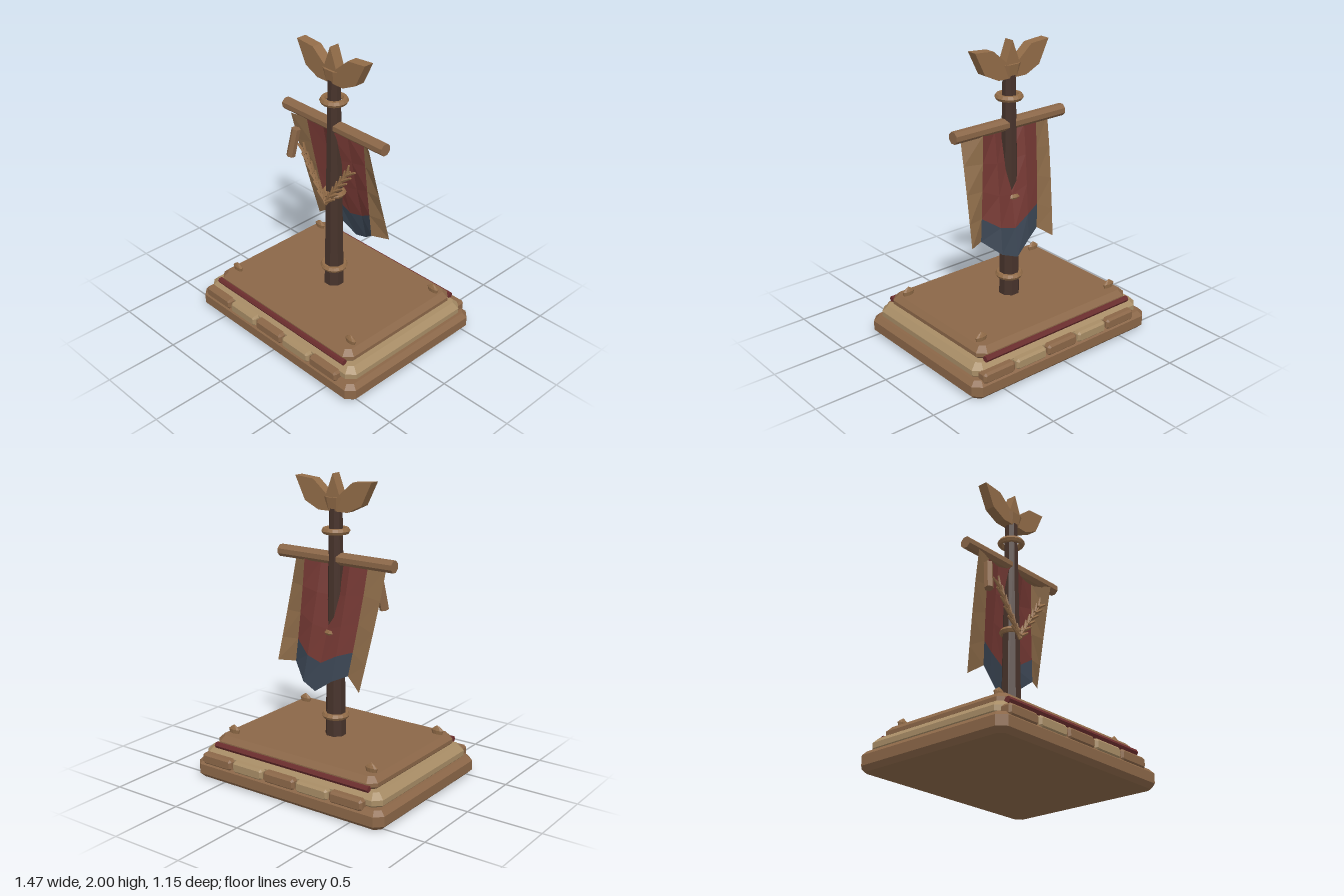
import * as THREE from 'three';

const mat = (name, color, side = THREE.FrontSide) => {
  const m = new THREE.MeshStandardMaterial({ color, flatShading: true, side });
  m.name = name;
  return m;
};

export function createModel() {
  const root = new THREE.Group();
  root.name = 'bannerStand';
  const wood = mat('brownWood', 0x8b6748);
  const pale = mat('paleStone', 0xa88d66);
  const dark = mat('darkWood', 0x47332b);
  const trim = mat('redTrim', 0x6c2e2e);
  const red = mat('redCloth', 0x743833, THREE.DoubleSide);
  const blue = mat('blueCloth', 0x3a4553, THREE.DoubleSide);
  const tan = mat('tanCloth', 0x8b6a48, THREE.DoubleSide);
  const bronze = mat('bronze', 0x926c48);

  const add = (name, geometry, material, x = 0, y = 0, z = 0, parent = root) => {
    const m = new THREE.Mesh(geometry, material);
    m.name = name;
    m.position.set(x, y, z);
    parent.add(m);
    return m;
  };

  // Bevelled slab with cut corners, centred, facing +z
  const slab = (w, h, d, cut, bevel) => {
    const x = w / 2, y = h / 2;
    const s = new THREE.Shape([
      [-x + cut, -y], [x - cut, -y], [x, -y + cut], [x, y - cut],
      [x - cut, y], [-x + cut, y], [-x, y - cut], [-x, -y + cut],
    ].map(p => new THREE.Vector2(...p)));
    const g = new THREE.ExtrudeGeometry(s, {
      depth: d - 2 * bevel, bevelEnabled: true, bevelSegments: 1,
      bevelThickness: bevel, bevelSize: bevel, bevelOffset: -bevel,
    });
    return g.translate(0, 0, bevel - d / 2);
  };

  // Stepped base
  const tier = (name, w, depth, y0, y1, cut, bevel, m) =>
    add(name, slab(w, depth, y1 - y0, cut, bevel).rotateX(-Math.PI / 2), m, 0, (y0 + y1) / 2, 0);
  tier('baseBottom', 1.47, 1.15, 0, 0.125, 0.05, 0.03, wood);
  tier('baseMiddle', 1.39, 1.06, 0.1, 0.21, 0.05, 0.038, pale);
  tier('baseTop', 1.26, 0.98, 0.19, 0.285, 0.05, 0.035, wood);

  // Facing blocks, trim rails and corner studs; the back repeats the front turned round
  for (const s of [1, -1]) {
    for (let i = 0; i < 5; i++) {
      const b = add('facingBlock', slab(0.245, 0.076, 0.08, 0.015, 0.014), i % 2 ? pale : wood,
        s * (-0.545 + i * 0.256), 0.138, s * 0.534);
      if (s < 0) b.rotation.y = Math.PI;
    }
    add('trimRail', new THREE.CylinderGeometry(0.021, 0.021, 1.21, 6).rotateZ(Math.PI / 2),
      trim, 0, 0.224, s * 0.497);
    for (const sx of [1, -1]) {
      const profile = [[0.036, 0], [0.045, 0.03], [0.028, 0.045], [0, 0.063]];
      const stud = add('cornerStud', new THREE.LatheGeometry(
        profile.map(p => new THREE.Vector2(...p)), 10), bronze, sx * 0.545, 0.282, s * 0.385);
      stud.scale.z = 0.38;
    }
  }

  // Pole, crossbar and rings
  add('pole', new THREE.CylinderGeometry(0.043, 0.069, 1.5, 8).rotateY(Math.PI / 8), dark, 0, 1.03, 0);
  add('crossbar', new THREE.CylinderGeometry(0.041, 0.041, 0.88, 8).rotateY(Math.PI / 8)
    .rotateZ(Math.PI / 2), wood, 0, 1.463, 0);
  for (const [y, r] of [[0.42, 0.071], [1.64, 0.071], [0.985, 0.058]]) {
    add('poleRing', new THREE.TorusGeometry(r, 0.021, 6, 16).rotateX(Math.PI / 2), bronze, 0, y, 0);
  }

  // Winged finial with its collar
  const half = [[0.05, 1.87], [0.15, 1.955], [0.29, 1.967], [0.215, 1.815], [0.11, 1.765]];
  const outline = [[0, 2], ...half, ...half.map(([x, y]) => [-x, y]).reverse()];
  add('wingedFinial', new THREE.ExtrudeGeometry(
    new THREE.Shape(outline.map(p => new THREE.Vector2(...p))),
    { depth: 0.07, bevelEnabled: false }), bronze, 0, 0, -0.035);
  add('finialCollar', new THREE.CylinderGeometry(0.1, 0.075, 0.08, 8).rotateY(Math.PI / 8),
    bronze, 0, 1.812, 0).scale.z = 0.54;

  // Hanging cloth: top edge sweeps down and back to the ragged hem
  const top = [[-0.355, 0.04], [-0.235, 0.015], [-0.115, -0.01], [0, 0.045],
    [0.115, 0.0], [0.23, -0.025], [0.35, 0.048]];
  const hem = [[-0.27, 0.655, -0.125], [-0.16, 0.735, -0.09], [-0.06, 0.69, -0.125],
    [0.055, 0.61, -0.152], [0.165, 0.65, -0.132], [0.28, 0.75, -0.06], [0.39, 0.75, -0.11]];
  const rows = [0, 0.26, 0.52, 0.78, 1];
  const point = (c, t) => {
    const [x0, z0] = top[c], [x1, y1, z1] = hem[c];
    return [x0 + (x1 - x0) * t ** 1.25, 1.435 + (y1 - 1.435) * t, z0 + (z1 - z0) * t];
  };
  const panel = (name, c0, c1, r0, r1, m) => {
    const v = [];
    for (let c = c0; c < c1; c++) for (let r = r0; r < r1; r++) {
      const a = point(c, rows[r]), b = point(c + 1, rows[r]);
      const d = point(c, rows[r + 1]), e = point(c + 1, rows[r + 1]);
      v.push(...a, ...d, ...e, ...a, ...e, ...b);
    }
    const g = new THREE.BufferGeometry();
    g.setAttribute('position', new THREE.Float32BufferAttribute(v, 3));
    g.computeVertexNormals();
    add(name, g, m);
  };
  panel('clothRightBorder', 0, 1, 0, 4, tan);
  panel('clothLeftBorder', 5, 6, 0, 4, tan);
  panel('clothCentre', 1, 5, 0, 3, red);
  panel('clothHem', 1, 5, 3, 4, blue);

  // Garland: two rising twigs with leaves on alternate sides
  const garland = new THREE.Group();
  garland.name = 'garland';
  root.add(garland);
  const stick = (name, x, y, angle, length, r) => {
    const m = add(name, new THREE.CylinderGeometry(r * 0.5, r, length, 5), bronze, x, y, 0.073, garland);
    m.rotation.z = angle;
  };
  for (const s of [1, -1]) {
    stick('twig', s * 0.11, 1.1, -s * 0.62, 0.37, 0.011);
    for (let i = 0; i < 6; i++) {
      const t = i / 5;
      const x = 0.03 + 0.18 * t, y = 0.975 + 0.27 * t;
      stick('leaf', s * (x + 0.012), y - 0.008, -s * 1.0, 0.085, 0.014);
      stick('leaf', s * (x - 0.012), y + 0.012, -s * 0.22, 0.07, 0.012);
    }
    stick('garlandTip', s * 0.02, 0.95, -s * 0.65, 0.07, 0.013);
  }

  // Small scroll hung beside the cloth
  const scroll = add('scroll', new THREE.CylinderGeometry(0.03, 0.03, 0.2, 6), wood, -0.3, 1.255, 0.073);
  scroll.rotation.set(-0.15, 0, -0.12);

  return root;
}
